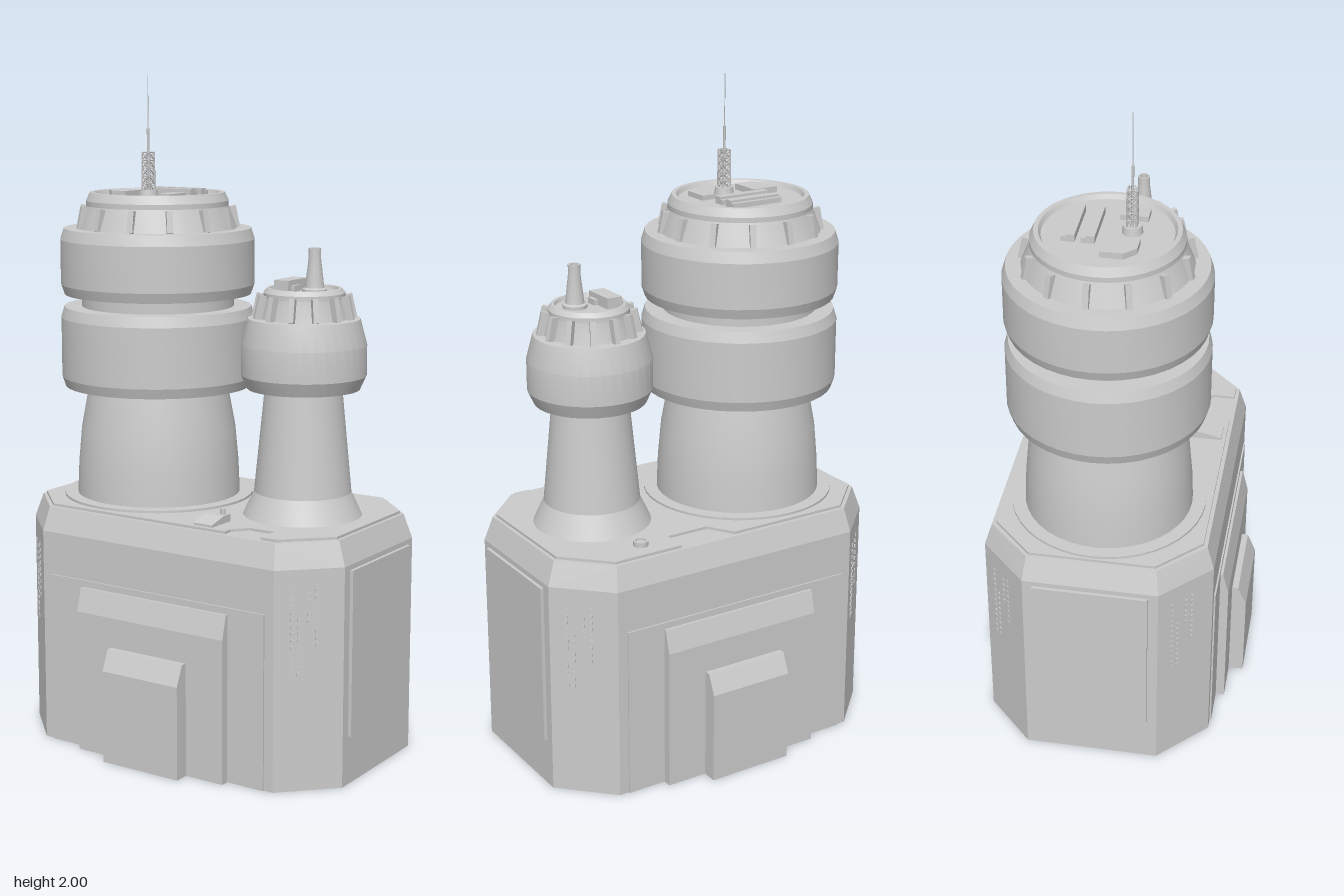
import * as THREE from 'three';
import { toCreasedNormals } from 'three/addons/utils/BufferGeometryUtils.js';
import { ConvexGeometry } from 'three/addons/geometries/ConvexGeometry.js';

const grey = new THREE.MeshStandardMaterial({ color: 0xcccccc });

function add(parent, name, geometry, x = 0, y = 0, z = 0) {
  const mesh = new THREE.Mesh(geometry, grey);
  mesh.name = name;
  mesh.position.set(x, y, z);
  parent.add(mesh);
  return mesh;
}

// Box given by its x, y and z ranges
function block(parent, name, [x0, x1], [y0, y1], [z0, z1]) {
  return add(parent, name, new THREE.BoxGeometry(x1 - x0, y1 - y0, z1 - z0),
    (x0 + x1) / 2, (y0 + y1) / 2, (z0 + z1) / 2);
}

function shapeOf(points) {
  return new THREE.Shape(points.map(([x, y]) => new THREE.Vector2(x, y)));
}

// Flat plate: outline in x, z raised by a height
function plate(outline, height) {
  const g = new THREE.ExtrudeGeometry(shapeOf(outline.map(([x, z]) => [x, -z])), { depth: height, bevelEnabled: false });
  return g.rotateX(-Math.PI / 2);
}

// Side profile in z, y swept across a width in x
function sweepX(profile, width) {
  const g = new THREE.ExtrudeGeometry(shapeOf(profile), { depth: width, bevelEnabled: false });
  return g.translate(0, 0, -width / 2).rotateY(-Math.PI / 2);
}

function lathe(profile, sides) {
  const g = new THREE.LatheGeometry(profile.map(([r, y]) => new THREE.Vector2(r, y)), sides);
  return toCreasedNormals(g, 0.3);
}

function octagon(hx, hz, cx, cz, y) {
  const pts = [];
  for (const sx of [-1, 1]) for (const sz of [-1, 1]) {
    pts.push(new THREE.Vector3(sx * hx, y, sz * cz), new THREE.Vector3(sx * cx, y, sz * hz));
  }
  return pts;
}

// Ring of inward-leaning fins around a roof
function fins(parent, radius, y, size, lean) {
  const count = 13;
  for (let i = 0; i < count; i++) {
    const pivot = new THREE.Group();
    pivot.name = 'roofFin';
    pivot.rotation.y = 0.166 - (i / count) * Math.PI * 2;
    add(pivot, 'fin', new THREE.BoxGeometry(...size), radius, y, 0).rotation.z = lean;
    parent.add(pivot);
  }
}

function strut(parent, a, b, r) {
  const from = new THREE.Vector3(...a), to = new THREE.Vector3(...b);
  const mesh = add(parent, 'strut', new THREE.CylinderGeometry(r, r, from.distanceTo(to), 5));
  mesh.position.copy(from).lerp(to, 0.5);
  mesh.quaternion.setFromUnitVectors(new THREE.Vector3(0, 1, 0), to.sub(from).normalize());
}

function createBase() {
  const base = new THREE.Group();
  base.name = 'base';
  add(base, 'body', new ConvexGeometry([
    ...octagon(0.555, 0.342, 0.41, 0.2, 0),
    ...octagon(0.555, 0.342, 0.41, 0.2, 0.65),
    ...octagon(0.53, 0.32, 0.4, 0.19, 0.722)]));

  // Raised deck with a notch at the back and one at the front
  add(base, 'deck', plate([
    [-0.52, -0.185], [-0.395, -0.308], [-0.01, -0.308], [0.04, -0.23], [0.175, -0.23], [0.175, -0.308],
    [0.395, -0.308], [0.52, -0.185], [0.52, 0.185], [0.395, 0.308], [0.345, 0.308], [0.345, 0.235],
    [0.262, 0.235], [0.225, 0.28], [0.225, 0.308], [-0.395, 0.308], [-0.52, 0.185]], 0.01), 0, 0.72, 0);

  // Stepped doorways, front and back
  for (const turn of [0, Math.PI]) {
    const door = new THREE.Group();
    door.name = 'doorway';
    door.rotation.y = turn;
    block(door, 'backPanel', [-0.38, 0.38], [0, 0.52], [0.33, 0.347]);
    add(door, 'outerStep', sweepX([[0.33, 0], [0.373, 0], [0.373, 0.43], [0.355, 0.5], [0.33, 0.5]], 0.518));
    add(door, 'innerStep', sweepX([[0.35, 0], [0.418, 0], [0.418, 0.28], [0.392, 0.34], [0.35, 0.34]], 0.266));
    base.add(door);
  }

  // Side panels
  for (const s of [-1, 1]) {
    add(base, 'sidePanel', new THREE.BoxGeometry(0.03, 0.49, 0.34), s * 0.55, 0.39, 0);
  }

  // Small window slots on the four angled corners
  const columns = [[-0.05, 0.345, 0.6], [-0.03, 0.345, 0.52], [0.0, 0.5, 0.6], [0.022, 0.43, 0.6]];
  for (const [sx, sz] of [[1, 1], [1, -1], [-1, -1], [-1, 1]]) {
    const corner = new THREE.Group();
    corner.name = 'cornerWindows';
    corner.position.set(sx * 0.4825, 0, sz * 0.271);
    corner.rotation.y = Math.atan2(sx, sz);
    for (const [u, low, high] of columns) {
      for (let y = low; y <= high; y += 0.02) {
        add(corner, 'window', new THREE.BoxGeometry(0.008, 0.009, 0.006), u, y, 0);
      }
    }
    base.add(corner);
  }

  // Deck fittings
  add(base, 'deckBox', sweepX([[0.2, 0.725], [0.295, 0.725], [0.295, 0.737], [0.235, 0.752], [0.2, 0.752]], 0.064), 0.14, 0, 0);
  add(base, 'deckKnob', new THREE.CylinderGeometry(0.007, 0.007, 0.02, 12), 0.157, 0.758, 0.215);
  add(base, 'hatch', lathe([[0.022, 0], [0.022, 0.015], [0.016, 0.015], [0.016, 0.01], [0, 0.01]], 20), 0.275, 0.73, -0.245);
  return base;
}

function createLargeTower() {
  const tower = new THREE.Group();
  tower.name = 'largeTower';
  tower.position.x = -0.224;
  add(tower, 'towerWall', lathe([
    [0.29, 0.72], [0.29, 0.737], [0.25, 0.737], [0.246, 0.83], [0.236, 0.94], [0.212, 1.07],
    [0.284, 1.07], [0.294, 1.1], [0.294, 1.28], [0.284, 1.312], [0.231, 1.312], [0.231, 1.35],
    [0.284, 1.35], [0.294, 1.38], [0.294, 1.515], [0.283, 1.548], [0.24, 1.548], [0.215, 1.615],
    [0.215, 1.63], [0.203, 1.655], [0.19, 1.655], [0.183, 1.642], [0, 1.642]], 40));
  fins(tower, 0.229, 1.579, [0.028, 0.066, 0.018], 0.2);

  // Rooftop machinery
  for (const z of [-0.099, -0.044]) {
    block(tower, 'roofVent', [-0.066, 0.104], [1.64, 1.657], [z - 0.019, z + 0.019]);
    block(tower, 'ventTop', [-0.066, 0.104], [1.65, 1.664], [z - 0.006, z + 0.019]);
  }
  add(tower, 'roofUnit', plate([[-0.133, 0], [-0.048, 0], [-0.048, 0.097], [-0.1, 0.097], [-0.133, 0.064]], 0.02), 0, 1.64, 0);
  block(tower, 'roofBox', [0.073, 0.119], [1.64, 1.657], [0.02, 0.1]);

  // Lattice mast with a thin aerial
  const mast = new THREE.Group();
  mast.name = 'mast';
  mast.position.set(0.014, 0, 0.065);
  add(mast, 'mastFoot', new THREE.CylinderGeometry(0.026, 0.03, 0.025, 20), 0, 1.652, 0);
  const w = 0.013, bottom = 1.66, levels = 5, step = 0.023;
  const corners = [[-w, -w], [w, -w], [w, w], [-w, w]];
  corners.forEach(([x, z], i) => {
    const [nx, nz] = corners[(i + 1) % 4];
    strut(mast, [x, bottom, z], [x, bottom + levels * step, z], 0.0025);
    for (let k = 0; k < levels; k++) {
      const y = bottom + k * step;
      strut(mast, [x, y, z], [nx, y + step, nz], 0.002);
      strut(mast, [nx, y, nz], [x, y + step, z], 0.002);
      strut(mast, [x, y + step, z], [nx, y + step, nz], 0.002);
    }
  });
  add(mast, 'aerialBase', new THREE.CylinderGeometry(0.004, 0.004, 0.185, 8), 0, 1.7525, 0);
  add(mast, 'aerial', new THREE.CylinderGeometry(0.0012, 0.0015, 0.16, 6), 0, 1.92, 0);
  tower.add(mast);
  return tower;
}

function createSmallTower() {
  const tower = new THREE.Group();
  tower.name = 'smallTower';
  tower.position.x = 0.295;
  add(tower, 'towerWall', lathe([
    [0.18, 0.72], [0.172, 0.737], [0.143, 0.8], [0.113, 1.105], [0.165, 1.105], [0.183, 1.145],
    [0.183, 1.235], [0.163, 1.31], [0.133, 1.312], [0.118, 1.37], [0.118, 1.385], [0.108, 1.398],
    [0.099, 1.398], [0.095, 1.388], [0, 1.388]], 36));
  fins(tower, 0.134, 1.345, [0.024, 0.07, 0.016], 0.22);

  // Rooftop unit and funnel
  block(tower, 'roofUnit', [-0.075, -0.027], [1.38, 1.42], [-0.06, 0.045]);
  block(tower, 'roofUnitStep', [-0.03, -0.015], [1.38, 1.405], [-0.005, 0.03]);
  add(tower, 'funnel', lathe([
    [0.036, 1.385], [0.036, 1.398], [0.028, 1.402], [0.018, 1.485], [0.018, 1.515],
    [0.012, 1.515], [0.012, 1.5], [0, 1.5]], 20), 0.04, 0, 0.01);
  return tower;
}

export function createModel() {
  const model = new THREE.Group();
  model.name = 'twinTowerBuilding';
  model.add(createBase(), createLargeTower(), createSmallTower());
  return model;
}
